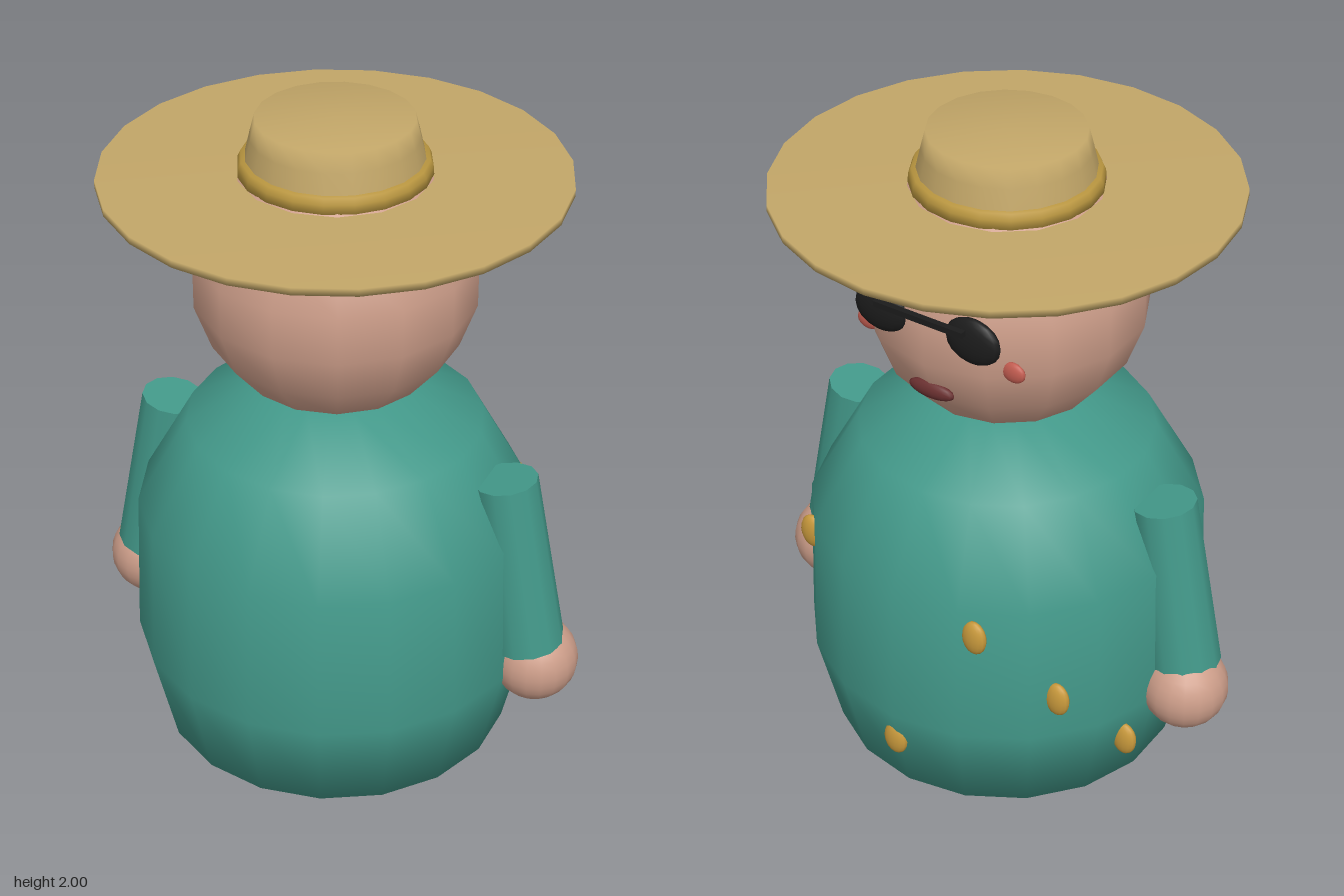
import * as THREE from 'three';

const mat = (name, color) => {
  const m = new THREE.MeshStandardMaterial({ color });
  m.name = name;
  return m;
};

export function createModel() {
  const teal = mat('teal cloth', 0x43998a);
  const skin = mat('skin', 0xcc9d89);
  const straw = mat('straw', 0xc2a668);
  const bandGold = mat('hat band', 0xb8953f);
  const gold = mat('gold', 0xc8993c);
  const black = mat('black', 0x1c1c1c);
  const red = mat('cheek red', 0xc25c50);
  const maroon = mat('mouth maroon', 0x6a3030);
  const shoe = mat('dark shoe', 0x2a504b);

  const model = new THREE.Group();
  model.name = 'strawHatFigure';

  const add = (name, geometry, material, x = 0, y = 0, z = 0) => {
    const mesh = new THREE.Mesh(geometry, material);
    mesh.name = name;
    mesh.position.set(x, y, z);
    model.add(mesh);
    return mesh;
  };
  const lathe = (points, segments) =>
    new THREE.LatheGeometry(points.map(([r, y]) => new THREE.Vector2(r, y)), segments);
  const ellipsoid = (rx, ry, rz, w = 14, h = 10) =>
    new THREE.SphereGeometry(1, w, h).scale(rx, ry, rz);

  // Bell-shaped body, closed underneath
  add('body', lathe([[0, 0.03], [0.53, 0.03], [0.6, 0.33], [0.585, 0.78],
    [0.435, 1.05], [0.195, 1.17], [0, 1.17]], 18), teal);

  // Faceted-outline round head
  add('head', new THREE.SphereGeometry(0.414, 14, 9).rotateY(Math.PI / 2), skin, 0, 1.53, 0);

  // Hat
  add('hatBrim', lathe([[0, 1.815], [0.66, 1.815], [0.66, 1.837], [0, 1.837]], 24), straw);
  add('hatCrown', lathe([[0.262, 1.83], [0.25, 1.885], [0.236, 1.945], [0.222, 2], [0, 2]], 20), straw);
  add('hatBand', lathe([[0.25, 1.835], [0.272, 1.842], [0.27, 1.868], [0.262, 1.885], [0.24, 1.888]], 20), bandGold);

  // Paired parts
  for (const [side, s] of [['left', 1], ['right', -1]]) {
    const top = new THREE.Vector3(0.537 * s, 0.967, 0);
    const bottom = new THREE.Vector3(0.627 * s, 0.42, 0);
    const axis = top.clone().sub(bottom);
    const sleeve = add(side + 'Sleeve', new THREE.CylinderGeometry(0.094, 0.11, axis.length(), 12), teal);
    sleeve.position.copy(top).add(bottom).multiplyScalar(0.5);
    sleeve.quaternion.setFromUnitVectors(new THREE.Vector3(0, 1, 0), axis.normalize());

    add(side + 'Hand', new THREE.SphereGeometry(0.13, 18, 14), skin, 0.645 * s, 0.35, -0.02);
    add(side + 'Foot', ellipsoid(0.14, 0.09, 0.2), shoe, 0.2 * s, 0.09, -0.09);
    add(side + 'Lens', ellipsoid(0.088, 0.07, 0.028), black, 0.15 * s, 1.58, -0.387);
    add(side + 'Cheek', ellipsoid(0.038, 0.031, 0.015), red, 0.24 * s, 1.48, -0.328);
  }

  // Face details
  add('glassesBridge', new THREE.BoxGeometry(0.29, 0.018, 0.018), black, 0, 1.618, -0.424);
  add('mouth', ellipsoid(0.075, 0.027, 0.02), maroon, 0, 1.36, -0.372);

  // Gold spots scattered over the robe
  [[0.43, 0.7, -0.395], [-0.246, 0.7, -0.534], [-0.44, 0.468, -0.4],
    [0.013, 0.22, -0.57], [-0.544, 0.211, -0.19]].forEach((p, i) =>
    add('robeSpot' + (i + 1), ellipsoid(0.04, 0.056, 0.022), gold, ...p));

  return model;
}
